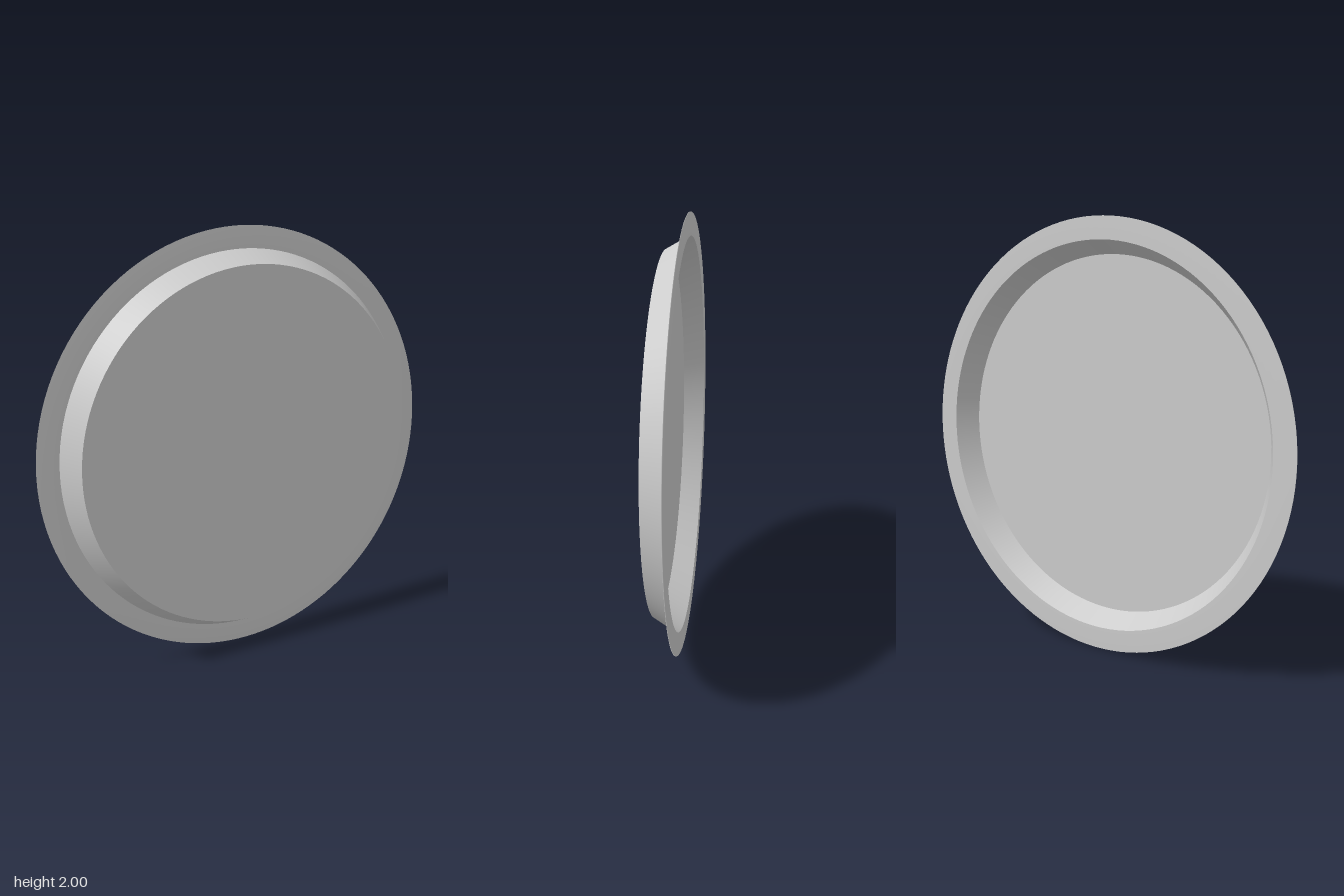
import * as THREE from 'three';

const SIDES = 128;
const FRONT = 0.054, BACK = -0.054, SKIN = 0.003;
const R_BASE = 0.84, R_WALL = 0.9, R_RIM = 1;

// Spins a (radius, z) profile about the z axis; smooth inside one profile,
// with hard edges between separate profiles.
function spin(name, profile, material) {
  const points = profile.map(([r, z]) => new THREE.Vector2(r, z));
  const geometry = new THREE.LatheGeometry(points, SIDES);
  geometry.rotateX(Math.PI / 2);
  const mesh = new THREE.Mesh(geometry, material);
  mesh.name = name;
  return mesh;
}

export function createModel() {
  const material = new THREE.MeshStandardMaterial({ color: 0xcccccc });
  const pan = new THREE.Group();
  pan.name = 'roundPan';

  // Flat floor of the pan, both faces
  pan.add(spin('baseFront', [[R_BASE, FRONT], [0, FRONT]], material));
  pan.add(spin('baseBack', [[0, FRONT - SKIN], [R_BASE - SKIN, FRONT - SKIN]], material));

  // Sloping wall, outer and inner faces
  pan.add(spin('wallOuter', [[R_WALL, BACK + SKIN], [R_BASE, FRONT]], material));
  pan.add(spin('wallInner', [[R_BASE - SKIN, FRONT - SKIN], [R_WALL - SKIN, BACK]], material));

  // Thin rim, shaded softly around its outer edge
  pan.add(spin('rim', [
    [R_WALL - SKIN, BACK], [R_RIM, BACK], [R_RIM, BACK + SKIN], [R_WALL, BACK + SKIN],
  ], material));

  pan.position.y = R_RIM;
  const model = new THREE.Group();
  model.name = 'pan';
  model.add(pan);
  return model;
}
